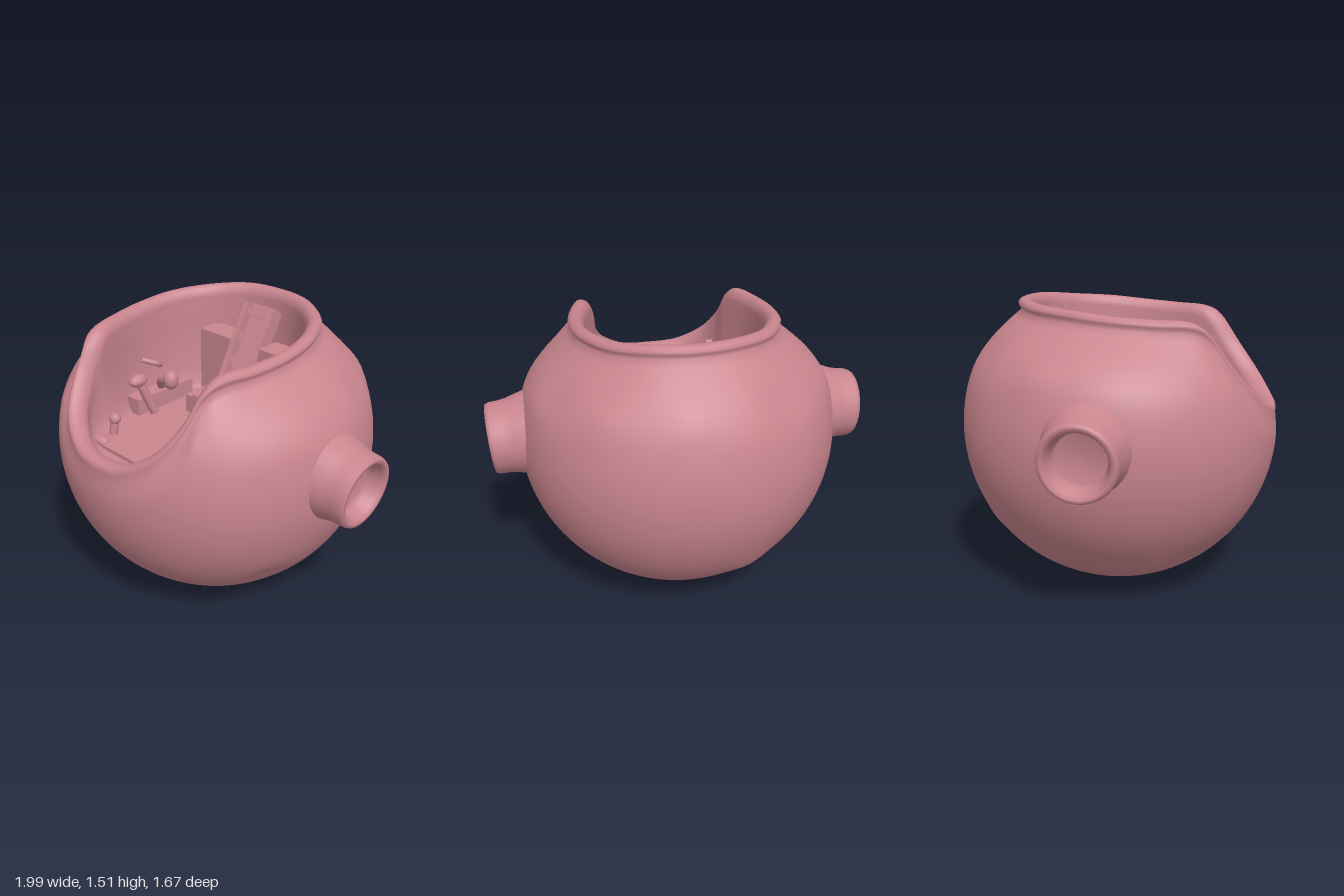
import * as THREE from 'three';

const V = (x, y, z) => new THREE.Vector3(x, y, z);
const CENTRE = V(0, 0.835, 0), RADIUS = 0.836;
const { lerp, smoothstep } = THREE.MathUtils;

export function createModel() {
  const model = new THREE.Group();
  const rose = new THREE.MeshStandardMaterial({ color: 0xc9858e });
  rose.name = 'dusty rose';

  const add = (name, geo, parent = model) => {
    const mesh = new THREE.Mesh(geo, rose);
    mesh.name = name;
    parent.add(mesh);
    return mesh;
  };
  const box = (name, size, pos, rx = 0) => {
    const mesh = add(name, new THREE.BoxGeometry(...size));
    mesh.position.set(...pos);
    mesh.rotation.x = rx;
    return mesh;
  };
  const tube = (name, pts, r) =>
    add(name, new THREE.TubeGeometry(new THREE.CatmullRomCurve3(pts), 14, r, 8));
  const ball = (name, p, r, sx = 1, sy = 1, sz = 1) => {
    const mesh = add(name, new THREE.SphereGeometry(r, 14, 10));
    mesh.position.copy(p);
    mesh.scale.set(sx, sy, sz);
    return mesh;
  };

  // Outer edge of the opening: round at the back, dropping to a U at the front
  const half = [
    [0, 1.445, -0.51], [0.2, 1.443, -0.475], [0.38, 1.425, -0.35], [0.49, 1.41, -0.15],
    [0.52, 1.39, 0.05], [0.5, 1.375, 0.25], [0.445, 1.36, 0.44], [0.42, 1.31, 0.515],
    [0.395, 1.17, 0.62], [0.32, 1.035, 0.725], [0.17, 0.94, 0.8], [0, 0.92, 0.825],
  ].map(p => V(...p));
  const mirrored = half.slice(1, -1).reverse().map(p => V(-p.x, p.y, p.z));
  const rim = new THREE.CatmullRomCurve3([...half, ...mirrored], true, 'centripetal');

  // Small dents and lumps on the skin: direction and height
  const lumps = [
    [V(0.55, 0.45, -0.68), 0.015], [V(-0.5, 0.5, -0.7), -0.015], [V(0.1, 0.5, -0.85), 0.015],
    [V(0.8, 0.5, -0.4), -0.02], [V(-0.85, 0.45, -0.35), 0.015], [V(0.7, -0.6, 0.3), -0.015],
    [V(-0.55, -0.75, 0.3), 0.015], [V(-0.3, -0.6, -0.75), 0.015],
  ].map(([d, h]) => [d.normalize(), h]);
  const skin = dir => lumps.reduce(
    (r, [d, h]) => r + h * Math.exp(-dir.distanceToSquared(d) / 0.015), RADIUS);

  // Shell, rounded lip and cockpit bowl, one skin from the bottom pole to the floor
  const COLS = 128, OUT = 44, FLOOR = 0.91;
  const pos = [], index = [];
  const rimPts = Array.from({ length: COLS }, (_, j) => rim.getPoint(j / COLS));
  const neck = p => smoothstep(p.y, 1.25, 1.38);
  for (let i = 0; i <= OUT; i++) {
    for (const p of rimPts) {
      const d = p.clone().sub(CENTRE), len = d.length();
      const az = Math.atan2(d.x, d.z), top = Math.acos(d.y / len);
      const t = i / OUT, theta = lerp(Math.PI, top, t);
      const dir = V(Math.sin(theta) * Math.sin(az), Math.cos(theta), Math.sin(theta) * Math.cos(az));
      const r = lerp(skin(dir), len, smoothstep(t, 0.9 - 0.12 * neck(p), 1));
      pos.push(...dir.multiplyScalar(r).add(CENTRE).toArray());
    }
  }
  // Lip rows: scale, extra flare where the rim is high, rise above the edge
  const lip = [[1, 0.025, 0.025], [0.998, 0.03, 0.04], [0.985, 0.02, 0.054], [0.96, 0.01, 0.061],
    [0.93, 0, 0.06], [0.9, 0, 0.048], [0.88, 0, 0.028], [0.87, 0, 0.005]];
  for (const [s, flare, rise] of lip) {
    for (const p of rimPts) {
      const k = s + flare * neck(p);
      pos.push(p.x * k, p.y + rise, p.z * k);
    }
  }
  // Bowl rows: scale and height fraction above the floor
  const bowl = [[0.87, 0.75], [0.865, 0.5], [0.845, 0.25], [0.81, 0.06], [0.77, 0], [0.73, 0], [0.35, 0], [0, 0]];
  for (const [s, h] of bowl) {
    for (const p of rimPts) pos.push(p.x * s, FLOOR + (p.y - FLOOR) * h, p.z * s);
  }
  for (let i = 0; i < OUT + lip.length + bowl.length; i++) {
    for (let j = 0; j < COLS; j++) {
      const k = (j + 1) % COLS, a = i * COLS, c = a + COLS;
      index.push(a + j, c + j, a + k, a + k, c + j, c + k);
    }
  }
  const shell = new THREE.BufferGeometry();
  shell.setAttribute('position', new THREE.Float32BufferAttribute(pos, 3));
  shell.setIndex(index);
  shell.computeVertexNormals();
  add('shell', shell);

  // Hollow side ports with a slightly flared base
  const portProfile = [
    [0.225, 0.765], [0.212, 0.815], [0.202, 0.85], [0.195, 0.875], [0.19, 0.91], [0.188, 0.96],
    [0.18, 0.98], [0.162, 0.982], [0.145, 0.965], [0.13, 0.91], [0.12, 0.88], [0, 0.875],
  ].map(([r, y]) => new THREE.Vector2(r, y - 0.83));
  for (const side of [1, -1]) {
    const port = new THREE.Group();
    port.name = side > 0 ? 'leftPort' : 'rightPort';
    port.rotation.y = side > 0 ? 0 : Math.PI;
    const ring = add('portRing', new THREE.LatheGeometry(portProfile, 32), port);
    ring.position.set(0.83, 0.872, 0);
    ring.rotation.z = -Math.PI / 2 - 0.08;
    model.add(port);
  }

  // Seat and its tall ladder-like back
  box('seatBase', [0.34, 0.11, 0.2], [0, 0.955, -0.04]);
  box('seatFront', [0.22, 0.06, 0.06], [0, 1.0, 0.04]);
  const lean = -0.5;
  const onBack = t => [0, 1.0 + 0.43 * t, -0.12 - 0.24 * t];
  const mid = onBack(0.5);
  for (const s of [-1, 1]) box('backRail', [0.03, 0.5, 0.08], [s * 0.088, mid[1], mid[2]], lean);
  box('backPanel', [0.16, 0.5, 0.015], [0, mid[1], mid[2] - 0.02], lean);
  for (const t of [0.12, 0.38, 0.64, 0.92]) box('backRung', [0.17, 0.035, 0.055], onBack(t), lean);

  // Rear shelves either side of the seat back, side consoles and the front foot pad
  for (const s of [-1, 1]) {
    box('rearShelf', [0.22, 0.36, 0.14], [s * 0.215, 1.09, -0.28]);
    box('sideConsole', [0.09, 0.1, 0.4], [s * 0.35, 0.95, 0.08]);
  }
  box('footPad', [0.48, 0.03, 0.26], [0, 0.915, 0.51]);

  // Control levers and pedals, mirrored
  for (const s of [-1, 1]) {
    tube('innerLever', [V(s * 0.36, 0.98, 0.06), V(s * 0.3, 1.07, 0.12), V(s * 0.22, 1.1, 0.14)], 0.022);
    ball('innerLeverKnob', V(s * 0.2, 1.11, 0.14), 0.042, 1, 1.25, 1);
    tube('outerLever', [V(s * 0.27, 0.92, 0.2), V(s * 0.29, 1.03, 0.24), V(s * 0.31, 1.12, 0.27)], 0.026);
    ball('outerLeverGrip', V(s * 0.3, 1.12, 0.28), 0.038, 1, 0.9, 1.5);
    tube('sideHandle', [V(s * 0.44, 1.08, 0.0), V(s * 0.39, 1.12, 0.06), V(s * 0.44, 1.15, 0.13)], 0.015);
    tube('pedalPost', [V(s * 0.22, 0.91, 0.53), V(s * 0.22, 0.96, 0.52), V(s * 0.22, 1.01, 0.51)], 0.022);
    ball('pedalKnob', V(s * 0.22, 1.01, 0.51), 0.03);
    ball('footRest', V(s * 0.22, 0.93, 0.61), 0.04, 1.5, 0.7, 0.9);
  }
  return model;
}
